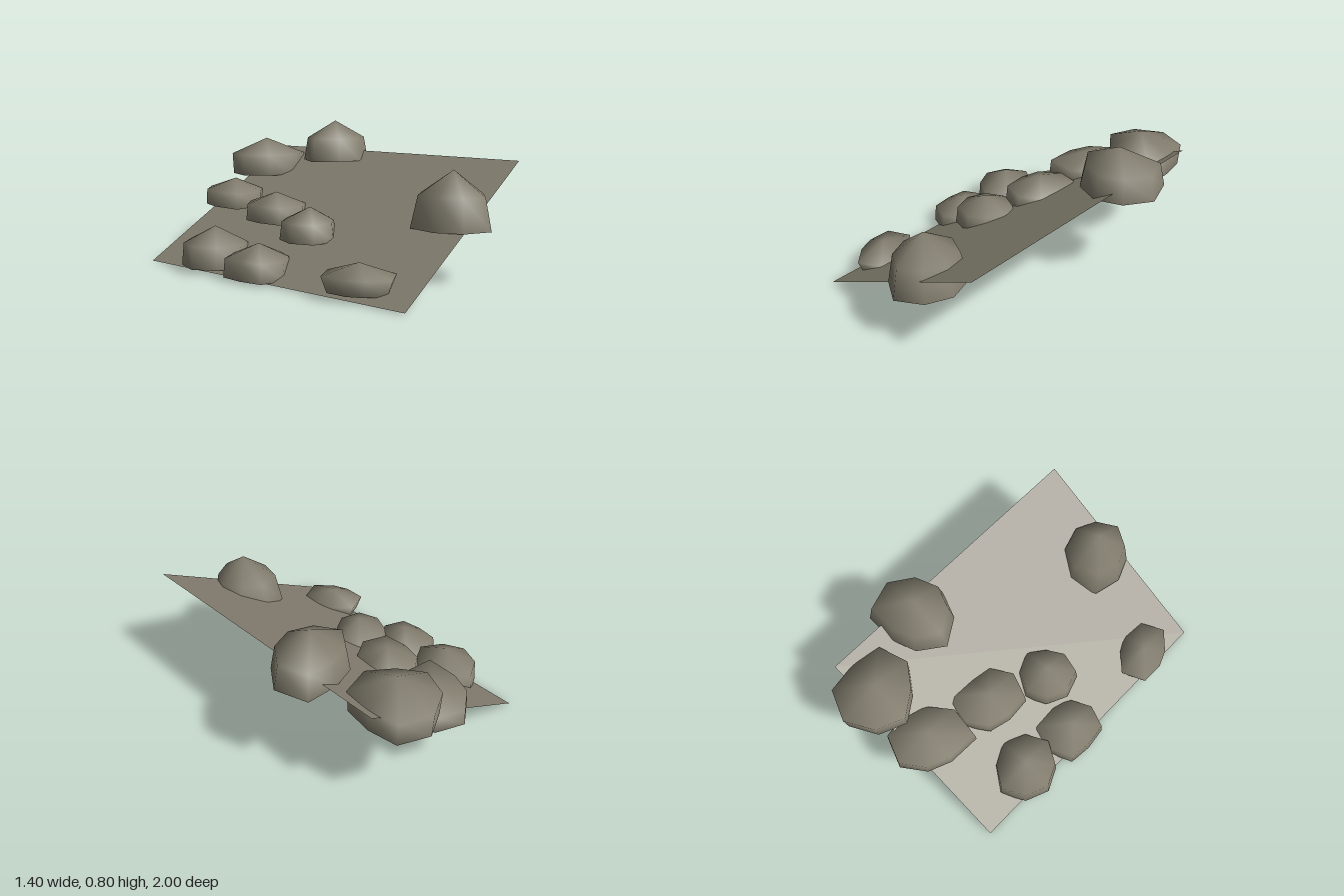
import * as THREE from 'three';

// Each rock: peak x and z, base and peak height, inward taper toward the shoulder,
// and eight radii around the peak, clockwise from the -x side.
const ROCKS = {
  frontRock: [0.05, 0.77, 0.29, 0.595, 0.17, [0.2, 0.23, 0.23, 0.22, 0.205, 0.2, 0.225, 0.2]],
  upperRightRock: [0.45, -0.31, 0.555, 0.8, 0.12, [0.245, 0.2, 0.19, 0.265, 0.25, 0.21, 0.205, 0.21]],
  upperBackRock: [0.29, -0.755, 0.45, 0.68, -0.03, [0.225, 0.225, 0.245, 0.245, 0.2, 0.245, 0.225, 0.185]],
  middleBackRock: [-0.04, -0.72, 0.29, 0.45, 0.03, [0.185, 0.185, 0.225, 0.23, 0.19, 0.17, 0.215, 0.27]],
  middleRock: [-0.12, -0.31, 0.24, 0.405, 0.05, [0.16, 0.18, 0.215, 0.25, 0.165, 0.18, 0.205, 0.21]],
  lowerMiddleRock: [-0.24, 0.04, 0.185, 0.365, 0.08, [0.175, 0.17, 0.18, 0.172, 0.18, 0.145, 0.165, 0.185]],
  lowerBackRock: [-0.515, -0.42, 0.03, 0.248, 0.06, [0.19, 0.19, 0.21, 0.18, 0.195, 0.19, 0.205, 0.182]],
  lowerLeftRock: [-0.55, -0.06, 0.018, 0.2, 0.05, [0.148, 0.19, 0.195, 0.235, 0.185, 0.17, 0.18, 0.185]],
  lowerFrontRock: [-0.54, 0.59, 0.038, 0.185, -0.16, [0.135, 0.19, 0.195, 0.14, 0.15, 0.185, 0.195, 0.135]],
};

// Smooth dome over straight sides, with a separate hard-edged underside
function rockGeometry([x, z, base, top, taper, radii]) {
  const n = radii.length, pos = [], idx = [];
  const ring = (y, scale) => radii.forEach((r, i) => {
    const a = (i / n) * Math.PI * 2;
    pos.push(x - Math.cos(a) * r * scale, y, z - Math.sin(a) * r * scale);
  });
  const baseScale = 1 + Math.min(0, taper);
  ring(base + (top - base) * 0.57, 1 - Math.max(0, taper)); // shoulder
  ring(base, baseScale);
  ring(base, baseScale);
  pos.push(x, top, z, x, base - 0.015, z);
  for (let i = 0; i < n; i++) {
    const j = (i + 1) % n;
    idx.push(3 * n, j, i);                       // dome
    idx.push(i, j, n + i, j, n + j, n + i);      // side
    idx.push(3 * n + 1, 2 * n + i, 2 * n + j);   // underside
  }
  const g = new THREE.BufferGeometry();
  g.setAttribute('position', new THREE.Float32BufferAttribute(pos, 3));
  g.setIndex(idx);
  g.computeVertexNormals();
  return g;
}

export function createModel() {
  const model = new THREE.Group();
  model.name = 'rockySlope';
  const stone = new THREE.MeshStandardMaterial({ color: 0x827d6e, side: THREE.DoubleSide });
  stone.name = 'stoneGrey';

  // Sloping ground sheet, rising toward +x
  const run = 1.17, rise = 0.6;
  const sheet = new THREE.PlaneGeometry(Math.hypot(run, rise), 1.74);
  sheet.rotateX(-Math.PI / 2).rotateZ(Math.atan2(rise, run)).translate(-0.045, 0.31, 0.04);
  const slope = new THREE.Mesh(sheet, stone);
  slope.name = 'slope';
  model.add(slope);

  // Boulders embedded in the slope
  for (const [name, shape] of Object.entries(ROCKS)) {
    const rock = new THREE.Mesh(rockGeometry(shape), stone);
    rock.name = name;
    model.add(rock);
  }
  return model;
}
